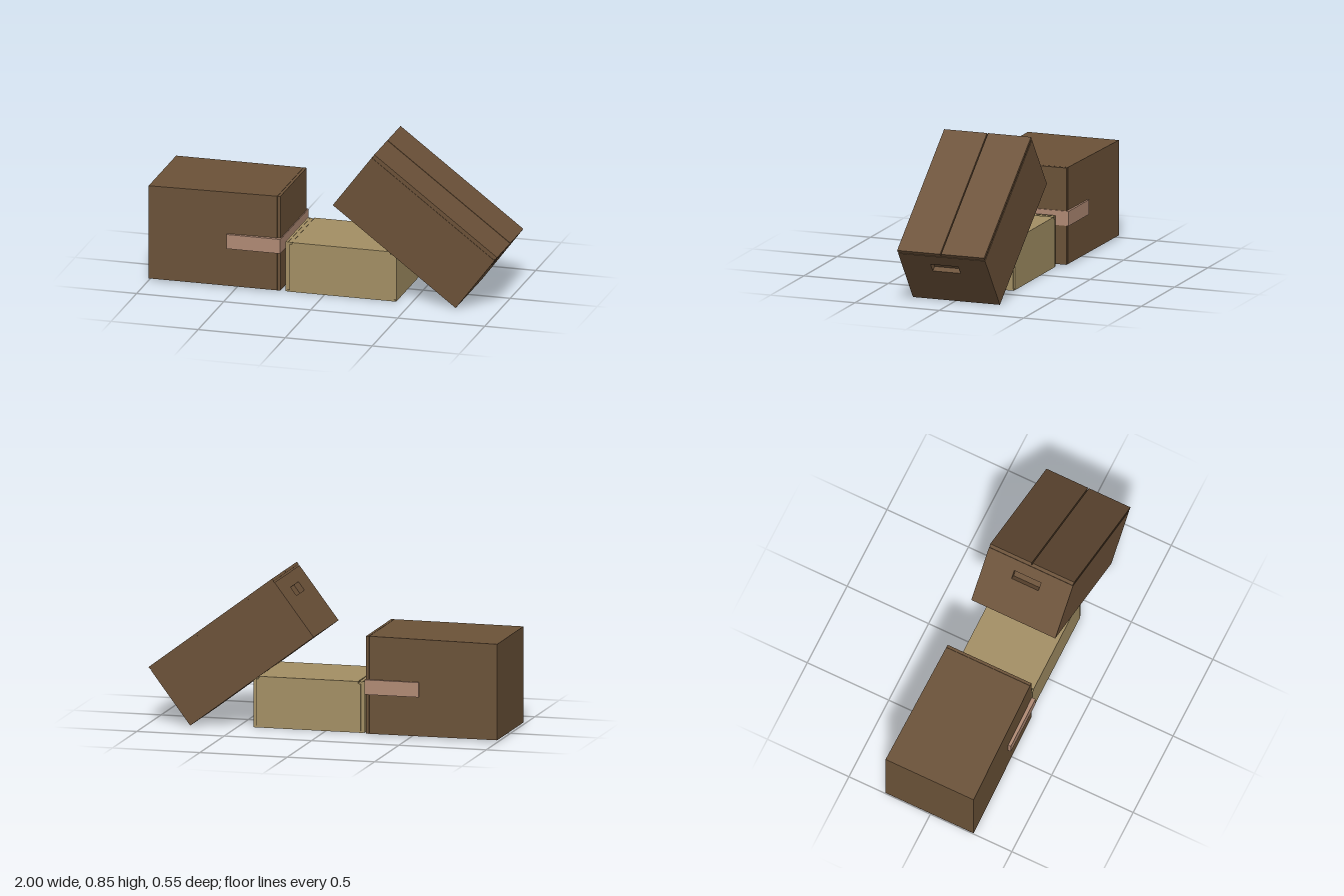
import * as THREE from 'three';

const paint = (color) => new THREE.MeshStandardMaterial({ color, flatShading: true });

// Box given by its limits on each axis
function block(parent, name, mat, [x0, x1], [y0, y1], [z0, z1]) {
  const geo = new THREE.BoxGeometry(x1 - x0, y1 - y0, z1 - z0);
  geo.translate((x0 + x1) / 2, (y0 + y1) / 2, (z0 + z1) / 2);
  const mesh = new THREE.Mesh(geo, mat);
  mesh.name = name;
  parent.add(mesh);
  return mesh;
}

function part(parent, name) {
  const g = new THREE.Group();
  g.name = name;
  parent.add(g);
  return g;
}

// Box lying on its side, slightly narrower at the taped flaps
function tapedBox(parent) {
  const g = part(parent, 'tapedBox');
  const card = paint(0x6b5238);
  const tape = paint(0xb08a74);
  const meshes = [
    block(g, 'tapedBoxBody', card, [-1, -0.265], [0.014, 0.553], [-0.275, 0.265]),
    block(g, 'lowerFlap', card, [-0.263, -0.247], [0.014, 0.277], [-0.275, 0.265]),
    block(g, 'upperFlap', card, [-0.263, -0.247], [0.283, 0.553], [-0.275, 0.265]),
    block(g, 'flapCore', card, [-0.27, -0.255], [0.018, 0.549], [-0.27, 0.26]),
  ];
  for (const { geometry } of meshes) {
    const p = geometry.attributes.position;
    for (let i = 0; i < p.count; i++) {
      const t = (p.getX(i) + 1) / 0.75;
      p.setZ(i, p.getZ(i) - Math.sign(p.getZ(i)) * 0.013 * t);
      const y = p.getY(i);
      if (y < 0.1) p.setY(i, y - 0.004 * t);
      if (y > 0.5) p.setY(i, y + 0.005 * t);
    }
    geometry.computeVertexNormals();
  }
  // Tape strip: one run over the flaps, returned along both sides
  block(g, 'tapeEnd', tape, [-0.246, -0.241], [0.232, 0.315], [-0.275, 0.272]);
  block(g, 'tapeBack', tape, [-0.55, -0.241], [0.232, 0.315], [-0.277, -0.262]);
  block(g, 'tapeFront', tape, [-0.55, -0.241], [0.232, 0.315], [0.25, 0.274]);
}

// Low pale carton with tucked end panels
function paleCarton(parent) {
  const g = part(parent, 'paleCarton');
  const card = paint(0xa38f64);
  block(g, 'cartonBody', card, [-0.2, 0.397], [0.004, 0.278], [-0.206, 0.231]);
  block(g, 'cartonLid', card, [-0.185, 0.382], [0.274, 0.29], [-0.211, 0.235]);
  for (const [name, z] of [['cartonFront', [0.225, 0.235]], ['cartonBack', [-0.211, -0.2]]]) {
    block(g, name, card, [-0.2, 0.397], [0.003, 0.275], z);
    block(g, name + 'Top', card, [-0.18, 0.377], [0.27, 0.29], z);
  }
  for (const [name, x, lip] of [
    ['leftEnd', [-0.223, -0.209], [-0.212, -0.188]],
    ['rightEnd', [0.402, 0.414], [0.385, 0.405]],
  ]) {
    block(g, name, card, x, [0.003, 0.29], [-0.205, 0.229]);
    block(g, name + 'Lip', card, lip, [0.004, 0.288], [-0.203, 0.227]);
  }
  block(g, 'cartonBase', card, [-0.215, 0.41], [0.002, 0.012], [-0.208, 0.232]);
}

// Tipped box leaning on the carton, with top flaps and a hand hole in each end
function leaningBox(parent) {
  const g = part(parent, 'leaningBox');
  const card = paint(0x6b5138);
  const L = 0.884, H = 0.396, W = 0.515, depth = 0.033;
  block(g, 'leaningBoxBody', card, [-L / 2 + depth, L / 2 - depth], [-H / 2, H / 2 - 0.025], [-W / 2, W / 2]);

  const panel = new THREE.Shape();
  panel.moveTo(-W / 2, -H / 2);
  panel.lineTo(W / 2, -H / 2);
  panel.lineTo(W / 2, H / 2 - 0.025);
  panel.lineTo(-W / 2, H / 2 - 0.025);
  panel.closePath();
  const hole = new THREE.Path();
  hole.moveTo(-0.082, 0.046);
  hole.lineTo(-0.082, 0.102);
  hole.lineTo(0.082, 0.102);
  hole.lineTo(0.082, 0.046);
  hole.closePath();
  panel.holes.push(hole);
  const geo = new THREE.ExtrudeGeometry(panel, { depth, bevelEnabled: false });
  geo.translate(0, 0, L / 2 - depth);
  for (const side of [1, -1]) {
    const end = new THREE.Mesh(geo, card);
    end.name = side > 0 ? 'lowerEndPanel' : 'upperEndPanel';
    end.rotation.y = (side * Math.PI) / 2;
    g.add(end);
  }
  // Inner flap layer, then two outer flaps split along the middle
  block(g, 'innerFlaps', card, [-L / 2 + 0.003, L / 2 - 0.003], [H / 2 - 0.026, H / 2 - 0.015], [-W / 2 + 0.003, W / 2 - 0.003]);
  block(g, 'frontFlap', card, [-L / 2, L / 2], [H / 2 - 0.016, H / 2], [0.003, W / 2]);
  block(g, 'backFlap', card, [-L / 2, L / 2], [H / 2 - 0.016, H / 2], [-W / 2, -0.003]);

  g.rotation.z = -0.646;
  g.position.set(0.526, 0.428, -0.007);
}

export function createModel() {
  const model = new THREE.Group();
  model.name = 'cardboardBoxes';
  tapedBox(model);
  paleCarton(model);
  leaningBox(model);
  return model;
}
